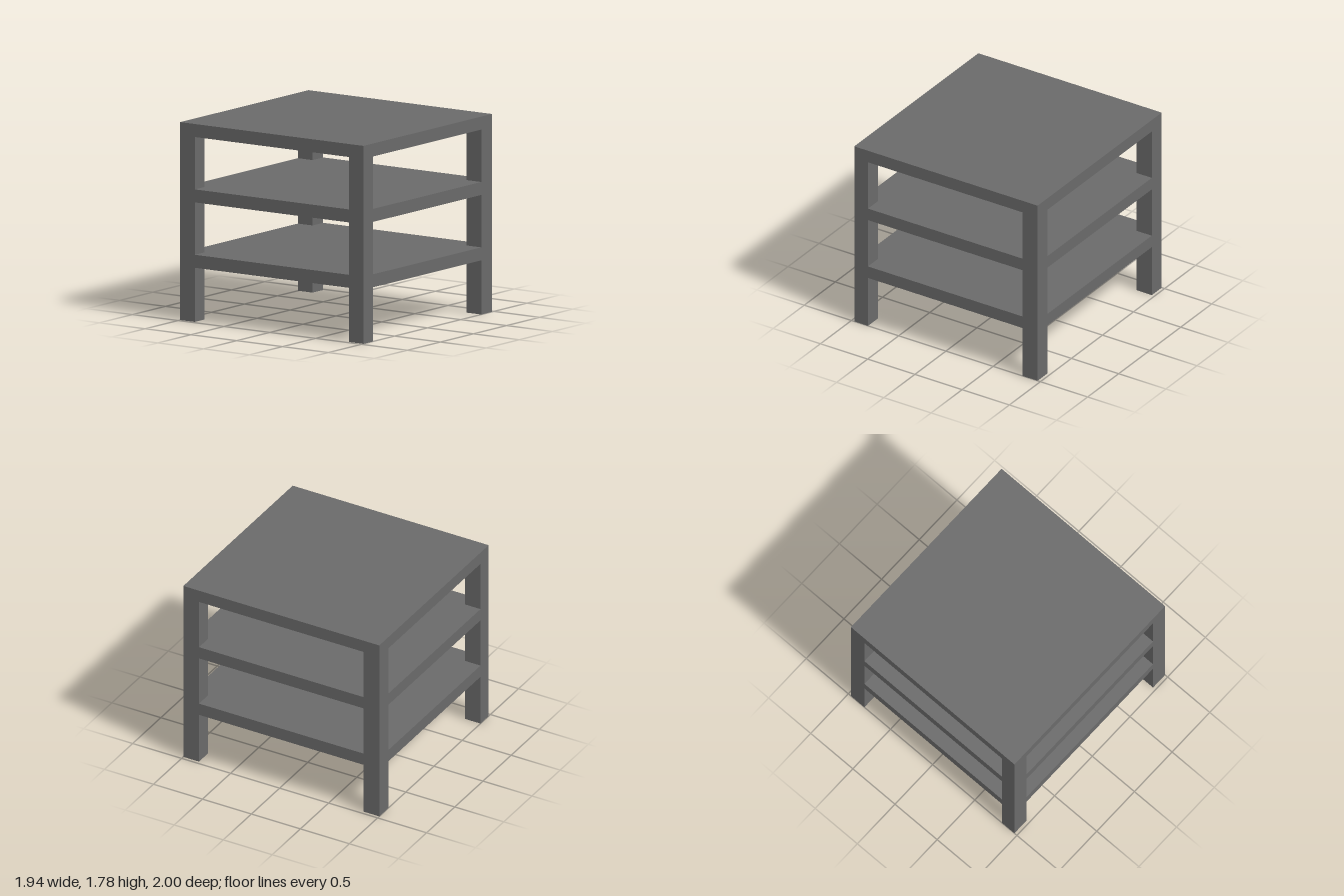
import * as THREE from 'three';

// Outer half sizes and the inner edges of the legs
const X = 0.97, Z = 1;
const INNER_LEFT = 0.81, INNER_RIGHT = -0.825, INNER_Z = 0.84;
const SLAB = 0.117, HEIGHT = 1.78;

export function createModel() {
  const group = new THREE.Group();
  const grey = new THREE.MeshStandardMaterial({ color: 0x6a6a6a });
  grey.name = 'grey';

  const add = (name, geometry) => {
    const mesh = new THREE.Mesh(geometry, grey);
    mesh.name = name;
    group.add(mesh);
    return mesh;
  };

  // Box between two corners
  const box = (name, x0, x1, y0, y1, z0, z1) =>
    add(name, new THREE.BoxGeometry(x1 - x0, y1 - y0, z1 - z0))
      .position.set((x0 + x1) / 2, (y0 + y1) / 2, (z0 + z1) / 2);

  // Table top, flush with the legs
  const underside = HEIGHT - SLAB;
  box('tableTop', -X, X, underside, HEIGHT, -Z, Z);

  // Four square legs
  for (const [end, z0, z1] of [['front', INNER_Z, Z], ['back', -Z, -INNER_Z]]) {
    box(end + 'LeftLeg', INNER_LEFT, X, 0, underside, z0, z1);
    box(end + 'RightLeg', -X, INNER_RIGHT, 0, underside, z0, z1);
  }

  // Two shelves, notched at the corners to fit around the legs
  const outline = new THREE.Shape([
    [INNER_RIGHT, -Z], [INNER_LEFT, -Z], [INNER_LEFT, -INNER_Z], [X, -INNER_Z],
    [X, INNER_Z], [INNER_LEFT, INNER_Z], [INNER_LEFT, Z], [INNER_RIGHT, Z],
    [INNER_RIGHT, INNER_Z], [-X, INNER_Z], [-X, -INNER_Z], [INNER_RIGHT, -INNER_Z],
  ].map(([x, z]) => new THREE.Vector2(x, z)));
  const shelf = new THREE.ExtrudeGeometry(outline, { depth: SLAB, bevelEnabled: false });
  shelf.rotateX(-Math.PI / 2);
  add('lowerShelf', shelf).position.y = 0.487;
  add('upperShelf', shelf).position.y = 1.075;

  return group;
}
